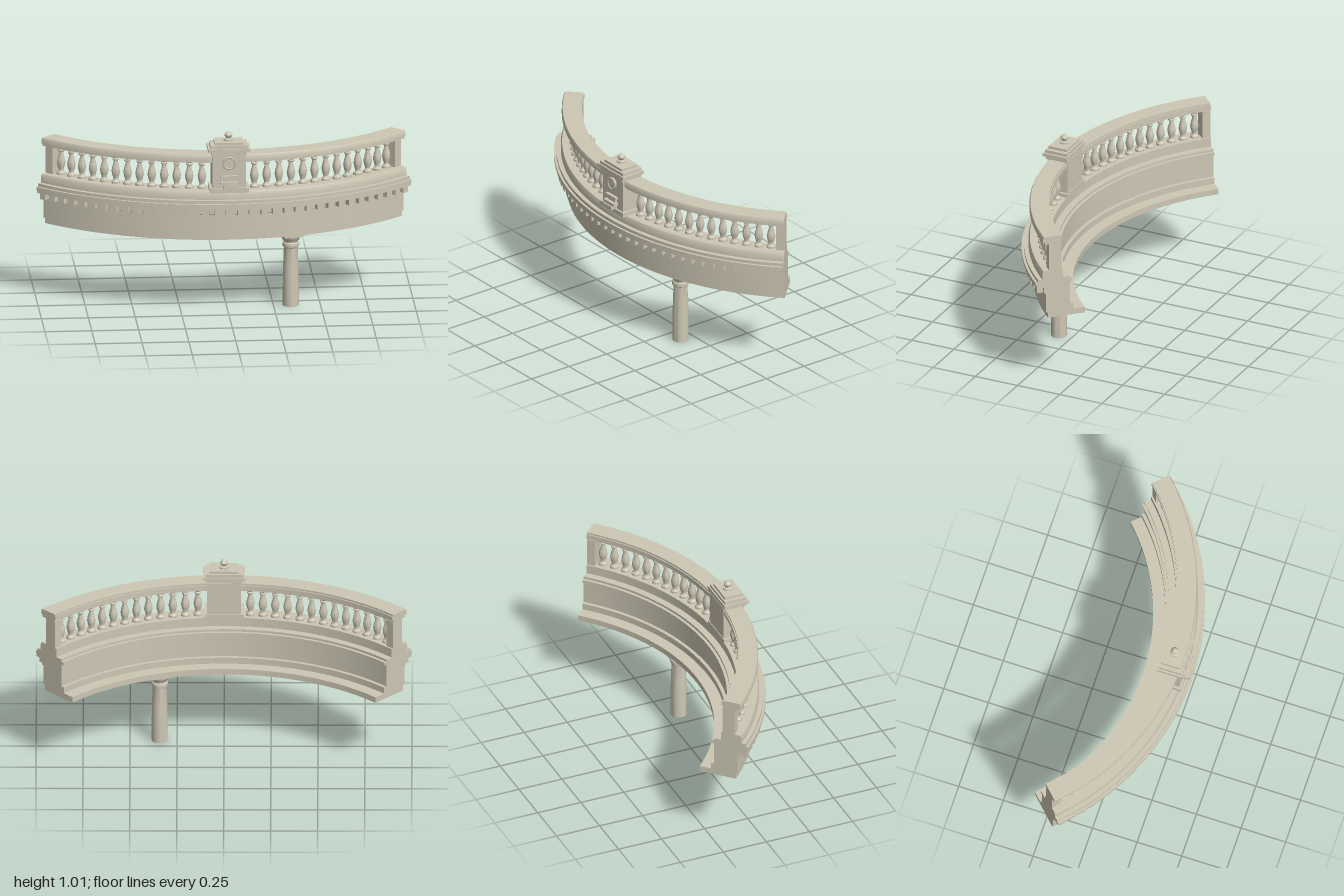
import * as THREE from 'three';
import { toCreasedNormals } from 'three/addons/utils/BufferGeometryUtils.js';

const CENTRE_Z = -1.11;        // centre of the balcony's curve
const HALF = Math.PI / 4;      // half of the swept angle

export function createModel() {
  const model = new THREE.Group();
  model.name = 'balcony';
  const stone = new THREE.MeshStandardMaterial({ color: 0xcdc7b4 });
  stone.name = 'stone';

  // everything that follows the curve lives in this group
  const arc = new THREE.Group();
  arc.name = 'curvedBalcony';
  arc.position.z = CENTRE_Z;
  model.add(arc);

  function add(parent, name, geometry, x = 0, y = 0, z = 0) {
    const mesh = new THREE.Mesh(geometry, stone);
    mesh.name = name;
    mesh.position.set(x, y, z);
    parent.add(mesh);
    return mesh;
  }
  const vectors = (pts) => pts.map(([x, y]) => new THREE.Vector2(x, y));

  // turned part, with crisp edges
  const turned = (pts, sides) =>
    toCreasedNormals(new THREE.LatheGeometry(vectors(pts), sides), 0.7);

  // closed (radius, height) section swept along the curve, capped at both ends
  function sweep(name, section, from, to, segments) {
    const group = new THREE.Group();
    group.name = name;
    arc.add(group);
    const pts = vectors([...section, section[0]]);
    add(group, name + 'Body', toCreasedNormals(
      new THREE.LatheGeometry(pts, segments, from, to - from), 0.5));
    [from, to].forEach((angle, i) => {
      const cap = new THREE.ShapeGeometry(new THREE.Shape(vectors(section)));
      if (i === 1) {
        cap.setIndex(Array.from(cap.index.array).reverse());
        cap.attributes.normal.array.forEach((v, k, a) => { a[k] = -v; });
      }
      add(group, name + 'End', cap).rotation.y = angle - Math.PI / 2;
    });
  }

  // place an object on the curve
  function onCurve(object, radius, angle) {
    object.position.x = radius * Math.sin(angle);
    object.position.z = radius * Math.cos(angle);
    object.rotation.y = angle;
  }

  // floor, wall and cornice
  sweep('cornice', [
    [1.14, 0.413], [1.347, 0.413], [1.347, 0.445], [1.357, 0.445], [1.357, 0.555],
    [1.37, 0.56], [1.37, 0.593], [1.41, 0.593], [1.41, 0.61], [1.416, 0.61],
    [1.416, 0.627], [1.403, 0.627], [1.403, 0.644], [1.379, 0.644], [1.379, 0.675],
    [1.372, 0.69], [1.262, 0.69], [1.262, 0.64], [1.224, 0.64], [1.224, 0.627],
    [1.208, 0.627], [1.208, 0.61], [1.224, 0.61], [1.224, 0.48], [1.205, 0.48],
    [1.205, 0.445], [1.14, 0.445],
  ], -HALF, HALF, 56);

  // dentils under the cornice
  const dentils = 35;
  const dentil = new THREE.BoxGeometry(0.036, 0.034, 0.045);
  for (let i = 0; i < dentils; i++) {
    const angle = -HALF + ((i + 0.5) / dentils) * 2 * HALF;
    onCurve(add(arc, 'dentil', dentil, 0, 0.577, 0), 1.381, angle);
  }

  // handrail
  sweep('handrail', [
    [1.275, 0.845], [1.364, 0.845], [1.364, 0.858], [1.374, 0.858], [1.374, 0.88],
    [1.369, 0.89], [1.272, 0.89], [1.272, 0.88], [1.266, 0.88], [1.266, 0.858], [1.275, 0.858],
  ], -HALF, HALF, 56);

  // balusters and end posts on both sides
  const baluster = turned([
    [0.024, 0.688], [0.024, 0.7], [0.017, 0.706], [0.013, 0.716], [0.019, 0.735],
    [0.023, 0.755], [0.019, 0.778], [0.012, 0.802], [0.012, 0.815], [0.018, 0.819],
    [0.018, 0.826], [0.014, 0.83], [0.022, 0.836], [0.022, 0.847],
  ], 14);
  const post = [[1.271, 0.688], [1.34, 0.688], [1.34, 0.847], [1.271, 0.847]];
  for (const side of [-1, 1]) {
    for (let i = 0; i < 13; i++) {
      onCurve(add(arc, 'baluster', baluster), 1.308, side * (0.107 + i * 0.0515));
    }
    const a = side * HALF, b = side * (HALF - 0.036);
    sweep('endPost', post, Math.min(a, b), Math.max(a, b), 2);
  }

  // central pedestal: [name, half width, bottom, top, back z, front z]
  const pedestal = new THREE.Group();
  pedestal.name = 'pedestal';
  model.add(pedestal);
  [
    ['pedestalBody', 0.09, 0.68, 0.895, 0.15, 0.269],
    ['pedestalFoot', 0.105, 0.685, 0.71, 0.146, 0.28],
    ['capLower', 0.095, 0.89, 0.91, 0.152, 0.28],
    ['capWide', 0.112, 0.91, 0.927, 0.146, 0.287],
    ['capMiddle', 0.1, 0.927, 0.944, 0.153, 0.279],
    ['capTop', 0.077, 0.944, 0.958, 0.163, 0.269],
    ['bracketBottom', 0.034, 0.71, 0.73, 0.26, 0.307],
    ['bracketMiddle', 0.045, 0.73, 0.747, 0.26, 0.299],
    ['bracketNeck', 0.034, 0.747, 0.768, 0.26, 0.28],
    ['bracketTop', 0.045, 0.768, 0.779, 0.26, 0.287],
  ].forEach(([name, w, y0, y1, z0, z1]) => add(pedestal, name,
    new THREE.BoxGeometry(2 * w, y1 - y0, z1 - z0), 0, (y0 + y1) / 2, (z0 + z1) / 2));

  // round medallion with a raised rim
  const disc = new THREE.CylinderGeometry(0.033, 0.033, 0.014, 28).rotateX(Math.PI / 2);
  add(pedestal, 'medallion', disc, 0, 0.847, 0.272);
  add(pedestal, 'medallionRim', new THREE.TorusGeometry(0.031, 0.005, 6, 28), 0, 0.847, 0.278);

  // finial
  add(pedestal, 'finial', turned([
    [0.025, 0.955], [0.025, 0.966], [0.013, 0.97], [0.013, 0.974], [0.02, 0.982],
    [0.021, 0.99], [0.015, 1.0], [0.006, 1.007], [0, 1.009],
  ], 20), 0, 0, 0.213);

  // supporting column
  const column = new THREE.Group();
  column.name = 'column';
  arc.add(column);
  onCurve(column, 1.236, 0.281);
  add(column, 'columnShaft', turned([
    [0, 0], [0.043, 0], [0.043, 0.1], [0.041, 0.22], [0.037, 0.322], [0.043, 0.326],
    [0.046, 0.337], [0.043, 0.349], [0.038, 0.352], [0.039, 0.36], [0.048, 0.37],
    [0.055, 0.386], [0.055, 0.39],
  ], 32));
  add(column, 'abacusLower', new THREE.BoxGeometry(0.112, 0.018, 0.112), 0, 0.396, 0);
  add(column, 'abacusUpper', new THREE.BoxGeometry(0.132, 0.012, 0.132), 0, 0.409, 0);
  return model;
}
